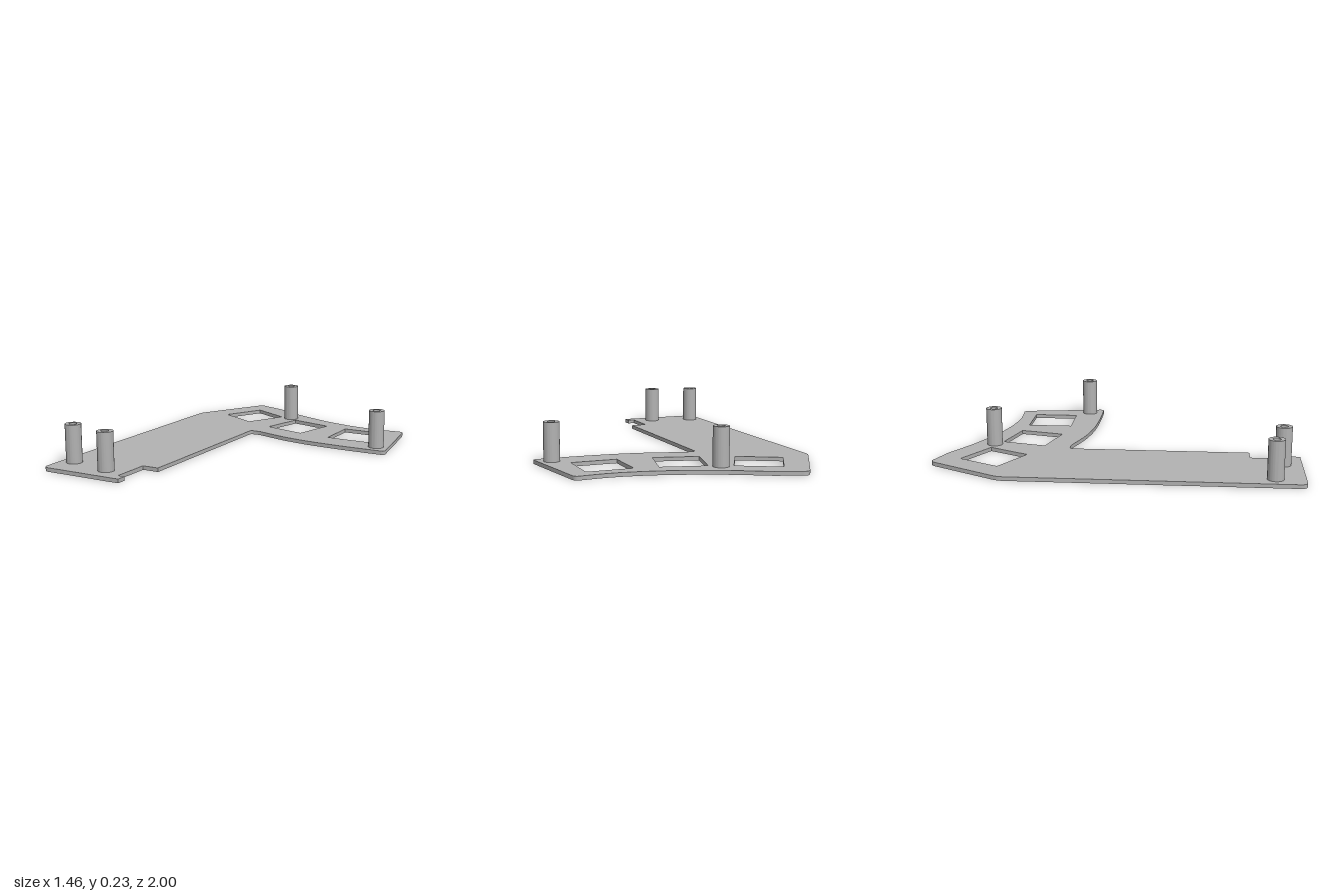
import * as THREE from 'three';
import { toCreasedNormals } from 'three/addons/utils/BufferGeometryUtils.js';

const THICKNESS = 0.022;
const POST_TOP = 0.235;

// Extrude a floor-plan shape (x, -z) upwards from y = 0
function extrudeUp(shape, height, curveSegments) {
  const geo = new THREE.ExtrudeGeometry(shape, { depth: height, bevelEnabled: false, curveSegments });
  geo.rotateX(-Math.PI / 2);
  return toCreasedNormals(geo, 0.5);
}

// Square window turned clockwise (seen from above)
function squareHole(x, z, size, degrees) {
  const r = size / Math.SQRT2;
  const points = [];
  for (let i = 0; i < 4; i++) {
    const a = Math.PI / 4 + i * Math.PI / 2 - THREE.MathUtils.degToRad(degrees);
    points.push(new THREE.Vector2(x + r * Math.cos(a), -z + r * Math.sin(a)));
  }
  return new THREE.Path(points.reverse());
}

function plateShape() {
  const s = new THREE.Shape();
  const line = (x, z) => s.lineTo(x, -z);
  const round = (cx, cz, x, z) => s.quadraticCurveTo(cx, -cz, x, -z);
  const spline = (pts) => s.splineThru(pts.map(([x, z]) => new THREE.Vector2(x, -z)));

  // long arm with the stepped notch at its front corner
  s.moveTo(-0.73, -0.56);
  line(-0.73, 0.955);
  round(-0.73, 0.995, -0.69, 0.995);
  line(-0.24, 0.995);
  line(-0.24, 0.94);
  line(-0.28, 0.94);
  line(-0.28, 0.72);
  line(-0.185, 0.72);
  line(-0.185, -0.27);
  round(-0.185, -0.29, -0.165, -0.29);
  // inner curve of the side arm
  spline([[-0.115, -0.288], [-0.02, -0.26], [0.08, -0.232], [0.19, -0.212], [0.29, -0.2], [0.45, -0.191], [0.6, -0.189], [0.705, -0.19]]);
  round(0.729, -0.19, 0.726, -0.215);
  line(0.656, -0.67);
  round(0.65, -0.706, 0.615, -0.698);
  // outer curve of the side arm
  spline([[0.53, -0.691], [0.44, -0.69], [0.34, -0.7], [0.24, -0.718], [0.13, -0.747], [0.03, -0.784], [-0.08, -0.826], [-0.18, -0.873], [-0.32, -0.95], [-0.45, -0.993]].slice(0, 9));
  line(-0.45, -0.995);
  round(-0.49, -1.02, -0.515, -0.975);
  line(-0.712, -0.625);
  round(-0.73, -0.592, -0.73, -0.56);

  s.holes.push(
    squareHole(-0.376, -0.684, 0.258, 28),
    squareHole(0.017, -0.533, 0.258, 14),
    squareHole(0.435, -0.48, 0.258, 0)
  );
  return s;
}

export function createModel() {
  const grey = new THREE.MeshStandardMaterial({ color: 0xb2b2b2 });
  grey.name = 'plain grey';
  const model = new THREE.Group();
  model.name = 'switchPlate';

  const plate = new THREE.Mesh(extrudeUp(plateShape(), THICKNESS, 10), grey);
  plate.name = 'plate';
  model.add(plate);

  // hollow standoff posts
  const ring = new THREE.Shape().absarc(0, 0, 0.044, 0, Math.PI * 2, false);
  ring.holes.push(new THREE.Path().absarc(0, 0, 0.021, 0, Math.PI * 2, true));
  const postGeo = extrudeUp(ring, POST_TOP - THICKNESS, 24);
  for (const [x, z] of [[-0.13, -0.73], [0.645, -0.272], [-0.648, 0.835], [-0.394, 0.89]]) {
    const post = new THREE.Mesh(postGeo, grey);
    post.name = 'standoffPost';
    post.position.set(x, THICKNESS, z);
    model.add(post);
  }
  return model;
}
